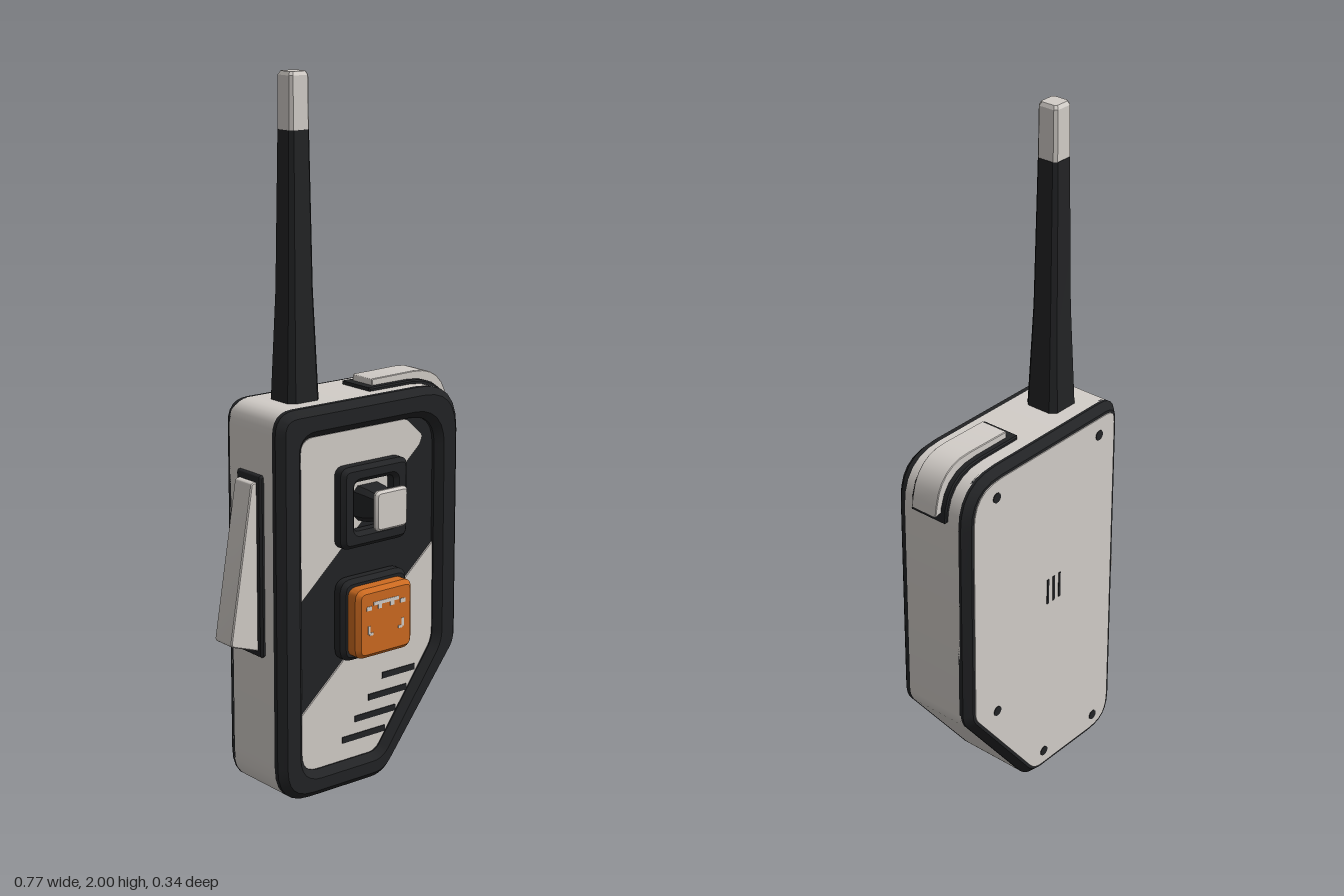
import * as THREE from 'three';
import { toCreasedNormals } from 'three/addons/utils/BufferGeometryUtils.js';

const mat = (name, color) => {
  const m = new THREE.MeshStandardMaterial({ color });
  m.name = name;
  return m;
};

// Closed polygon of [x, y, cornerCut]; corners with a cut are rounded
function roundedShape(points, Type = THREE.Shape) {
  const s = new Type();
  const n = points.length;
  points.forEach(([x, y, r = 0], i) => {
    const p = new THREE.Vector2(x, y);
    const toward = (q) => new THREE.Vector2(q[0], q[1]).sub(p).setLength(r).add(p);
    const a = toward(points[(i + n - 1) % n]);
    const b = toward(points[(i + 1) % n]);
    if (i === 0) s.moveTo(a.x, a.y);
    else s.lineTo(a.x, a.y);
    if (r > 0) s.quadraticCurveTo(x, y, b.x, b.y);
  });
  s.closePath();
  return s;
}

const rect = (x0, x1, y0, y1, r = 0) => [[x0, y0, r], [x1, y0, r], [x1, y1, r], [x0, y1, r]];

// Slab from z0 to z1 with chamfered rims; inset shrinks the outline
function slab(points, z0, z1, { bevel = 0, inset = 0, hole = null } = {}) {
  const shape = roundedShape(points);
  if (hole) shape.holes.push(roundedShape(hole, THREE.Path));
  const t = Math.max(bevel, 0.0005);
  const geo = new THREE.ExtrudeGeometry(shape, {
    depth: z1 - z0 - 2 * t, curveSegments: 6, bevelEnabled: true, bevelSegments: 1,
    bevelThickness: t, bevelSize: bevel, bevelOffset: -bevel - inset,
  });
  geo.translate(0, 0, z0 + t);
  return toCreasedNormals(geo, 0.4);
}

// Tapered square post with cut corners; sections are [y, halfWidth]
function post(sections, cut = 0.3) {
  const pos = [];
  const idx = [];
  const k = 1 - cut;
  const ring = [[1, k], [k, 1], [-k, 1], [-1, k], [-1, -k], [-k, -1], [k, -1], [1, -k]];
  sections.forEach(([y, h]) => ring.forEach(([x, z]) => pos.push(x * h, y, z * h)));
  const last = (sections.length - 1) * 8;
  for (let s = 0; s < last; s += 8) {
    for (let i = 0; i < 8; i++) {
      const j = (i + 1) % 8;
      idx.push(s + i, s + 8 + i, s + j, s + j, s + 8 + i, s + 8 + j);
    }
  }
  for (let i = 1; i < 7; i++) idx.push(0, i, i + 1, last, last + i + 1, last + i);
  const geo = new THREE.BufferGeometry();
  geo.setAttribute('position', new THREE.Float32BufferAttribute(pos, 3));
  geo.setIndex(idx);
  return toCreasedNormals(geo, 0.4);
}

export function createModel() {
  const model = new THREE.Group();
  model.name = 'handheldRadio';
  const black = mat('black rubber', 0x222325);
  const grey = mat('warm grey plastic', 0xd2cdc8);
  const orange = mat('orange', 0xcc6a20);
  const add = (name, geo, material) => {
    const mesh = new THREE.Mesh(geo, material);
    mesh.name = name;
    model.add(mesh);
    return mesh;
  };

  // Casing
  const outline = [[-0.285, 0.005, 0.11], [0.09, 0.005, 0.045], [0.358, 0.35, 0.03],
    [0.358, 1.12, 0.14], [-0.285, 1.12, 0.065]];
  const opening = [[-0.2, 0.08, 0.055], [0.065, 0.08, 0.025], [0.275, 0.37, 0.03],
    [0.275, 1.037, 0.09], [-0.2, 1.037, 0.04]];
  add('casing', slab(outline, -0.14, 0.05), grey);
  add('frontFrame', slab(outline, 0.03, 0.084, { bevel: 0.02, hole: opening }), black);
  add('backRim', slab(outline, -0.168, -0.115, { bevel: 0.02 }), black);
  add('backPlate', slab(outline, -0.171, -0.16, { inset: 0.028 }), grey);

  // Recessed front panel: dark band between two grey fields
  add('frontPanel', slab(opening, 0.045, 0.055), black);
  add('upperField', slab([[-0.2, 0.575], [0.225, 0.955, 0.01], [0.235, 0.98, 0.01], [0.175, 1.035, 0.01],
    [-0.2, 1.035, 0.05]], 0.052, 0.06), grey);
  add('lowerField', slab([[-0.2, 0.08, 0.055], [0.065, 0.08, 0.025], [0.275, 0.37, 0.03],
    [0.275, 0.66], [-0.2, 0.245]], 0.052, 0.06), grey);
  [[0.09, 0.21, 0.3], [0.04, 0.18, 0.246], [-0.01, 0.14, 0.193], [-0.055, 0.1, 0.14]].forEach(([x0, x1, y]) =>
    add('grilleSlot', slab(rect(x0, x1, y - 0.009, y + 0.009), 0.058, 0.063), black));

  // Thumb stick
  add('stickSurround', slab(rect(-0.083, 0.153, 0.708, 0.94, 0.03), 0.05, 0.1,
    { bevel: 0.012, hole: rect(-0.035, 0.105, 0.754, 0.894, 0.015) }), black);
  const stem = add('stickStem', post([[0.05, 0.05], [0.1, 0.046], [0.135, 0.036], [0.149, 0.052]]), black);
  stem.rotation.x = Math.PI / 2;
  stem.position.set(0.035, 0.824, 0);
  add('stickCap', slab(rect(-0.021, 0.093, 0.767, 0.881, 0.018), 0.147, 0.167, { bevel: 0.007 }), grey);

  // Orange push button with small markings
  add('buttonSurround', slab(rect(-0.083, 0.153, 0.384, 0.62, 0.04), 0.05, 0.098, { bevel: 0.012 }), black);
  add('pushButton', slab(rect(-0.065, 0.135, 0.4, 0.6, 0.03), 0.08, 0.142, { bevel: 0.012 }), orange);
  const mark = (x, y, w, h) =>
    add('buttonMark', slab(rect(x - w / 2, x + w / 2, y - h / 2, y + h / 2), 0.14, 0.1435), grey);
  mark(0.035, 0.556, 0.09, 0.01);
  for (const side of [-1, 1]) {
    mark(0.035 + side * 0.06, 0.545, 0.018, 0.012);
    mark(0.035 + side * 0.022, 0.545, 0.014, 0.012);
    mark(0.035 + side * 0.06, 0.482, 0.008, 0.024);
    mark(0.035 + side * 0.052, 0.47, 0.014, 0.008);
  }

  // Antenna
  const antenna = add('antenna', post([[1.08, 0.054], [1.12, 0.053], [1.42, 0.041], [1.848, 0.034]]), black);
  const tip = add('antennaTip', post([[1.845, 0.033], [1.99, 0.032], [2, 0.026]], 0.25), grey);
  for (const part of [antenna, tip]) part.position.set(-0.137, 0, -0.042);

  // Side talk lever
  add('leverBase', slab(rect(-0.297, -0.26, 0.425, 0.94, 0.008), -0.097, 0.012, { bevel: 0.006 }), black);
  add('talkLever', slab([[-0.29, 0.44], [-0.387, 0.472, 0.012], [-0.312, 0.92, 0.01], [-0.29, 0.92]],
    -0.082, -0.006, { bevel: 0.003 }), grey);

  // Curved corner trigger
  add('triggerSeat', slab([[0.075, 1.07], [0.075, 1.13], [0.366, 1.13, 0.14], [0.366, 0.99], [0.32, 0.99],
    [0.3, 1.07]], -0.103, 0.02, { bevel: 0.004 }), black);
  add('cornerTrigger', slab([[0.1, 1.1], [0.1, 1.148, 0.005], [0.362, 1.152, 0.11], [0.385, 1.012],
    [0.345, 1.02], [0.3, 1.09]], -0.085, 0, { bevel: 0.002 }), grey);

  // Back screws and vent slots
  [[0.24, 1.04], [-0.19, 1.04], [0.24, 0.34], [0.035, 0.075], [-0.19, 0.075]].forEach(([x, y]) => {
    const screw = add('screw', new THREE.CylinderGeometry(0.015, 0.015, 0.008, 12), black);
    screw.rotation.x = Math.PI / 2;
    screw.position.set(x, y, -0.169);
  });
  for (const x of [-0.025, 0, 0.025]) {
    add('backSlot', slab(rect(x - 0.004, x + 0.004, 0.59, 0.67), -0.173, -0.167), black);
  }
  return model;
}
